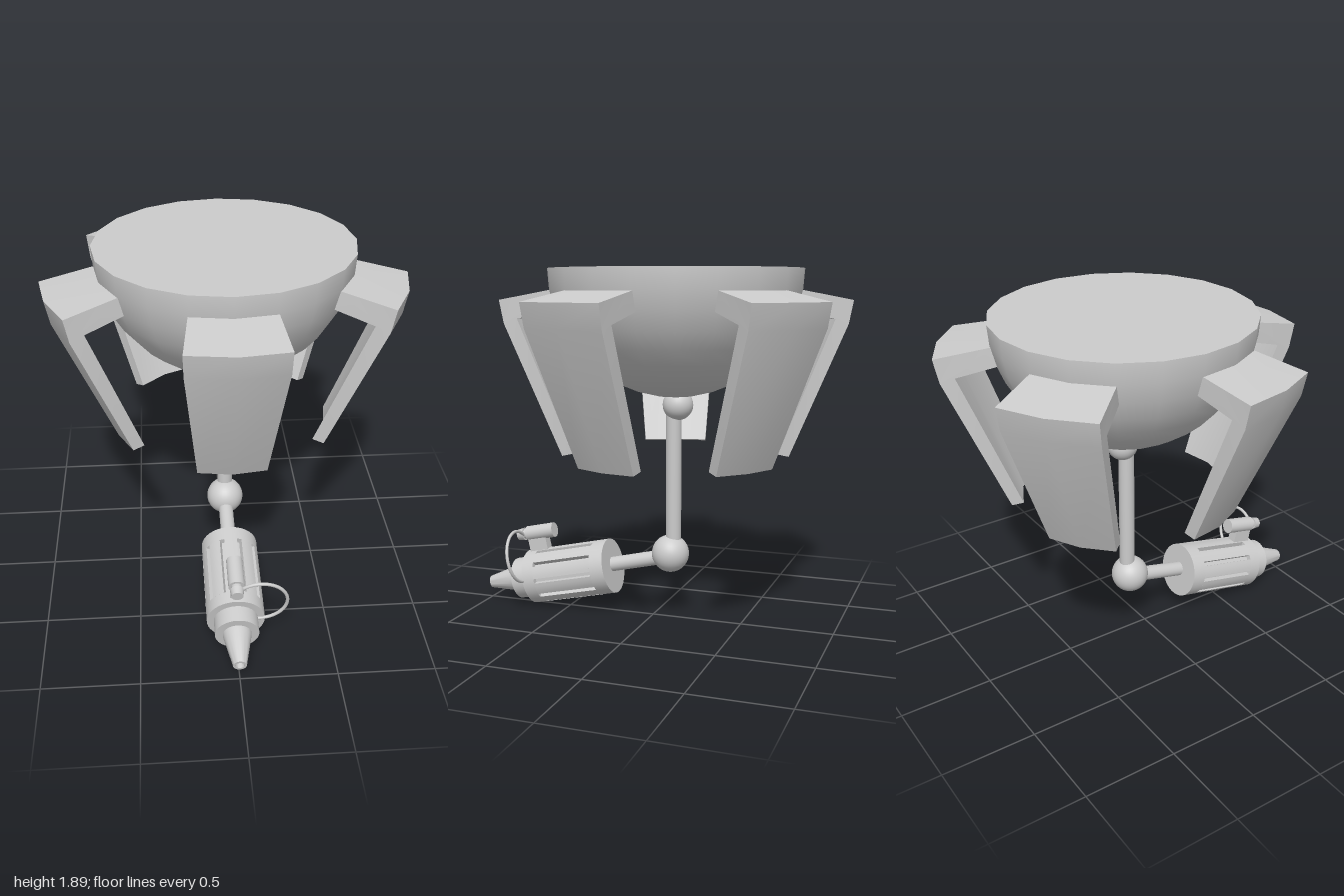
import * as THREE from 'three';
import { toCreasedNormals } from 'three/addons/utils/BufferGeometryUtils.js';

const material = new THREE.MeshStandardMaterial({ color: 0xcccccc });
const CENTRE_Z = -0.125;

function add(parent, name, geometry, x = 0, y = 0, z = 0) {
  const mesh = new THREE.Mesh(geometry, material);
  mesh.name = name;
  mesh.position.set(x, y, z);
  parent.add(mesh);
  return mesh;
}

// Cylinder along z, from z0 to z1
function rod(r0, r1, z0, z1, sides = 32) {
  return new THREE.CylinderGeometry(r1, r0, z1 - z0, sides)
    .rotateX(Math.PI / 2).translate(0, 0, (z0 + z1) / 2);
}

// Hooked claw: an L profile swept over three columns, bowed outward in the middle
function clawGeometry() {
  // [distance from centre, height, half width]
  const profile = [
    [0.62, 1.79, 0.21], [0.6, 1.69, 0.21], [0.81, 1.635, 0.235], [0.522, 0.915, 0.175],
    [0.584, 0.9, 0.178], [0.885, 1.61, 0.242], [0.91, 1.735, 0.245],
  ];
  const n = profile.length;
  const positions = [];
  const index = [];
  for (const u of [-1, 0, 1]) {
    for (const [d, y, w] of profile) positions.push(u * w, y, u ? d : Math.hypot(d, w));
  }
  for (let c = 0; c < 2; c++) {
    for (let i = 0; i < n; i++) {
      const j = (i + 1) % n;
      const a = c * n + i, b = a + n, e = c * n + j, f = e + n;
      index.push(a, b, f, a, f, e);
    }
  }
  const outline = profile.map(([d, y]) => new THREE.Vector2(d, y));
  for (const [a, b, c] of THREE.ShapeUtils.triangulateShape(outline, [])) {
    index.push(a, b, c, c + 2 * n, b + 2 * n, a + 2 * n);
  }
  const geometry = new THREE.BufferGeometry();
  geometry.setAttribute('position', new THREE.Float32BufferAttribute(positions, 3));
  geometry.setIndex(index);
  return toCreasedNormals(geometry, 0.45);
}

// Round barrel section with lengthwise slots cut all around
function slottedBarrel(radius, slots, z0, z1) {
  const shape = new THREE.Shape();
  const step = (Math.PI * 2) / slots;
  const half = 0.085;
  const inner = radius - 0.03;
  for (let i = 0; i < slots; i++) {
    const a = i * step;
    const point = (r, t) => [r * Math.cos(t), r * Math.sin(t)];
    if (i === 0) shape.moveTo(...point(inner, a - half));
    else shape.lineTo(...point(inner, a - half));
    shape.lineTo(...point(inner, a + half));
    for (let k = 0; k <= 4; k++) {
      shape.lineTo(...point(radius, a + half + ((step - 2 * half) * k) / 4));
    }
  }
  shape.closePath();
  const geometry = new THREE.ExtrudeGeometry(shape, { depth: z1 - z0, bevelEnabled: false });
  return toCreasedNormals(geometry.translate(0, 0, z0), 0.5);
}

function createBlaster() {
  const blaster = new THREE.Group();
  blaster.name = 'blaster';

  // Main barrel: solid collars around a slotted middle
  add(blaster, 'barrelRearCollar', rod(0.152, 0.152, 0, 0.08, 40));
  add(blaster, 'barrelSlots', slottedBarrel(0.152, 10, 0.08, 0.43));
  add(blaster, 'barrelFrontCollar', rod(0.152, 0.152, 0.43, 0.5, 40));
  add(blaster, 'frontRing', rod(0.115, 0.115, 0.5, 0.59));

  // Tapered nozzle with a bored tip
  const nozzle = [[0.075, 0.585], [0.072, 0.61], [0.035, 0.778], [0.022, 0.778], [0.02, 0.7], [0, 0.7]];
  const lathe = new THREE.LatheGeometry(nozzle.map(([r, z]) => new THREE.Vector2(r, z)), 28);
  add(blaster, 'nozzle', toCreasedNormals(lathe.rotateX(Math.PI / 2), 0.6));

  // Sight on its mount
  add(blaster, 'sightMount', new THREE.BoxGeometry(0.055, 0.11, 0.11), 0, 0.19, 0.42);
  add(blaster, 'sightTube', rod(0.042, 0.042, 0.31, 0.48, 24), 0, 0.25);
  add(blaster, 'sightNeck', rod(0.028, 0.028, 0.48, 0.5, 24), 0, 0.25);
  add(blaster, 'sightLens', rod(0.036, 0.03, 0.5, 0.54, 24), 0, 0.25);

  // Cable looping from the sight to the side of the barrel
  const arc = THREE.MathUtils.degToRad(238);
  const cable = add(blaster, 'cable', new THREE.TorusGeometry(0.142, 0.009, 10, 40, arc), 0.12, 0.147, 0.5);
  cable.rotation.z = THREE.MathUtils.degToRad(-95);

  blaster.position.set(0, 0.262, 0.238);
  blaster.rotation.x = 0.217;
  return blaster;
}

export function createModel() {
  const model = new THREE.Group();
  model.name = 'ceilingTurret';

  // Bowl with a flat lid
  const bowl = new THREE.SphereGeometry(0.675, 20, 10, 0, Math.PI * 2, Math.PI / 2, Math.PI / 2);
  add(model, 'bowl', bowl, 0, 1.9, CENTRE_Z);
  add(model, 'lid', new THREE.CircleGeometry(0.675, 20).rotateX(-Math.PI / 2), 0, 1.9, CENTRE_Z);

  // Five claws around the bowl
  const claw = clawGeometry();
  for (let i = 0; i < 5; i++) {
    add(model, 'claw', claw, 0, 0, CENTRE_Z).rotation.y = (i * Math.PI * 2) / 5;
  }

  // Jointed arm
  add(model, 'upperJoint', new THREE.SphereGeometry(0.082, 28, 18), 0, 1.182, -0.14);
  add(model, 'upperArm', new THREE.CylinderGeometry(0.042, 0.042, 0.8, 24), 0, 0.78, -0.117);
  add(model, 'elbowJoint', new THREE.SphereGeometry(0.102, 32, 20), 0, 0.364, -0.1);
  const forearm = add(model, 'forearm', rod(0.04, 0.04, 0, 0.37, 24), 0, 0.35, -0.1);
  forearm.rotation.x = 0.23;

  model.add(createBlaster());
  return model;
}
